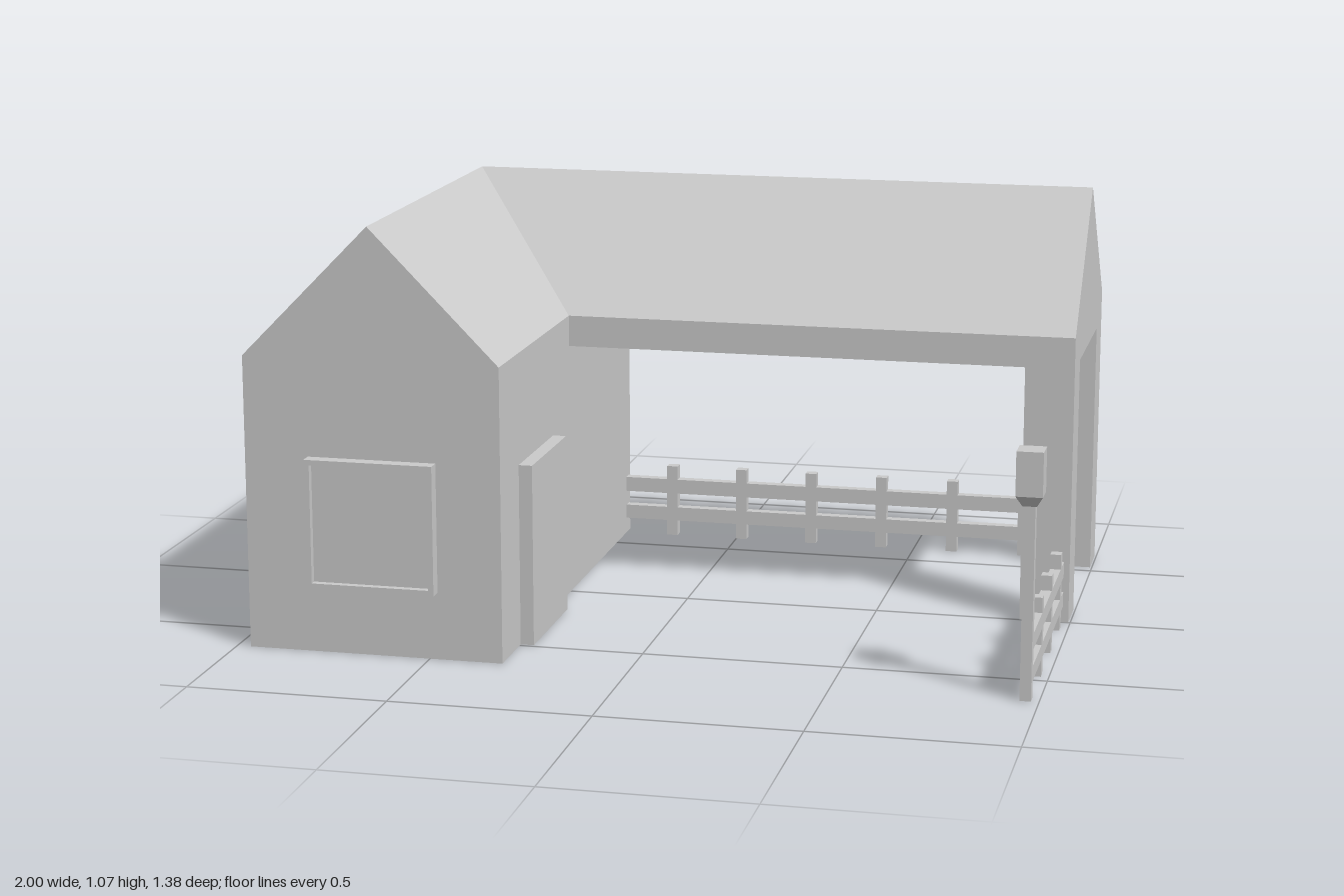
import * as THREE from 'three';

const material = new THREE.MeshStandardMaterial({ color: 0xcccccc, flatShading: true });

// Plan lines and heights shared by the parts
const X0 = -0.965, X1 = -0.315, X2 = 0.995, XR = -0.64;
const Z0 = -0.655, Z1 = 0, Z2 = 0.655, ZR = -0.33;
const EAVE = 0.74, RIDGE = 1.07, CEILING = 0.66;

function add(parent, name, geometry) {
  const mesh = new THREE.Mesh(geometry, material);
  mesh.name = name;
  parent.add(mesh);
  return mesh;
}

// Box given by its lower and upper corners
function block(parent, name, [ax, ay, az], [bx, by, bz]) {
  const mesh = add(parent, name, new THREE.BoxGeometry(bx - ax, by - ay, bz - az));
  mesh.position.set((ax + bx) / 2, (ay + by) / 2, (az + bz) / 2);
  return mesh;
}

function rect(path, x0, y0, x1, y1) {
  path.moveTo(x0, y0);
  path.lineTo(x1, y0);
  path.lineTo(x1, y1);
  path.lineTo(x0, y1);
  path.closePath();
  return path;
}

// L-shaped gable roof with a hip and a valley at the corner
function roofGeometry() {
  const p = {
    a: [X0, EAVE, Z2], b: [X1, EAVE, Z2], c: [X1, EAVE, Z1], d: [X2, EAVE, Z1],
    e: [X2, EAVE, Z0], f: [X0, EAVE, Z0],
    r: [XR, RIDGE, Z2], s: [XR, RIDGE, ZR], t: [X2, RIDGE, ZR],
  };
  const positions = [];
  for (const face of ['abr', 'bcsr', 'cdts', 'det', 'efst', 'fars']) {
    for (let i = 1; i < face.length - 1; i++) {
      positions.push(...p[face[0]], ...p[face[i]], ...p[face[i + 1]]);
    }
  }
  const geometry = new THREE.BufferGeometry();
  geometry.setAttribute('position', new THREE.Float32BufferAttribute(positions, 3));
  geometry.computeVertexNormals();
  return geometry;
}

// Square window: raised frame with a recessed pane, facing +z
function makeWindow(x, z, turn) {
  const group = new THREE.Group();
  group.name = 'window';
  const outer = 0.1625, inner = 0.149, depth = 0.034;
  const shape = rect(new THREE.Shape(), -outer, -outer, outer, outer);
  shape.holes.push(rect(new THREE.Path(), -inner, -inner, inner, inner));
  add(group, 'windowFrame', new THREE.ExtrudeGeometry(shape, { depth, bevelEnabled: false }));
  block(group, 'windowPane', [-inner, -inner, 0], [inner, inner, 0.016]);
  group.position.set(x, 0.332, z);
  group.rotation.y = turn;
  return group;
}

// Fence running along +x: posts and the rail pieces between them, all flush
function makeFence(length, firstPost, count) {
  const group = new THREE.Group();
  group.name = 'fence';
  const step = 0.197, half = 0.015, t = 0.0135;
  let start = 0;
  for (let i = 0; i <= count; i++) {
    const x = firstPost + i * step;
    const end = i < count ? x - half : length;
    for (const [low, high] of [[0.042, 0.08], [0.12, 0.16]]) {
      block(group, 'rail', [start, low, -t], [end, high, t]);
    }
    if (i < count) block(group, 'fencePost', [x - half, 0, -t], [x + half, 0.198, t]);
    start = x + half;
  }
  return group;
}

export function createModel() {
  const model = new THREE.Group();
  model.name = 'farmBuilding';

  // Closed wing, open shelter and roof
  block(model, 'houseWalls', [X0, 0, Z0], [X1, EAVE, Z2]);
  block(model, 'shelterBeam', [X1, CEILING, Z0], [X2, EAVE, Z1]);
  block(model, 'frontPillar', [0.87, 0, -0.12], [X2, CEILING, Z1]);
  block(model, 'backPillar', [0.87, 0, Z0], [X2, CEILING, -0.535]);
  add(model, 'roof', roofGeometry());

  // Door and windows
  block(model, 'door', [X1, 0, 0.165], [-0.281, 0.46, 0.49]);
  model.add(
    makeWindow(XR, Z2, 0),
    makeWindow(XR, Z0, Math.PI),
    makeWindow(X0, 0.327, -Math.PI / 2),
    makeWindow(X0, -0.327, -Math.PI / 2),
  );

  // Fence closing the back of the shelter
  const backFence = makeFence(0.87 - X1, 0.132, 6);
  backFence.position.set(X1, 0, -0.627);
  model.add(backFence);

  // Fence from the front pillar to the lamp post
  const sideFence = makeFence(0.638, 0.06, 3);
  sideFence.position.set(0.967, 0, 0);
  sideFence.rotation.y = -Math.PI / 2;
  model.add(sideFence);

  // Lamp post
  const lamp = new THREE.Group();
  lamp.name = 'lampPost';
  block(lamp, 'lampPole', [-0.0135, 0, -0.015], [0.0135, 0.476, 0.015]);
  block(lamp, 'lampHead', [-0.032, 0.5, -0.032], [0.032, 0.608, 0.032]);
  const neck = new THREE.CylinderGeometry(0.032 * Math.SQRT2, 0.017 * Math.SQRT2, 0.026, 4);
  neck.rotateY(Math.PI / 4);
  add(lamp, 'lampNeck', neck).position.y = 0.487;
  lamp.position.set(0.967, 0, 0.652);
  model.add(lamp);

  return model;
}
